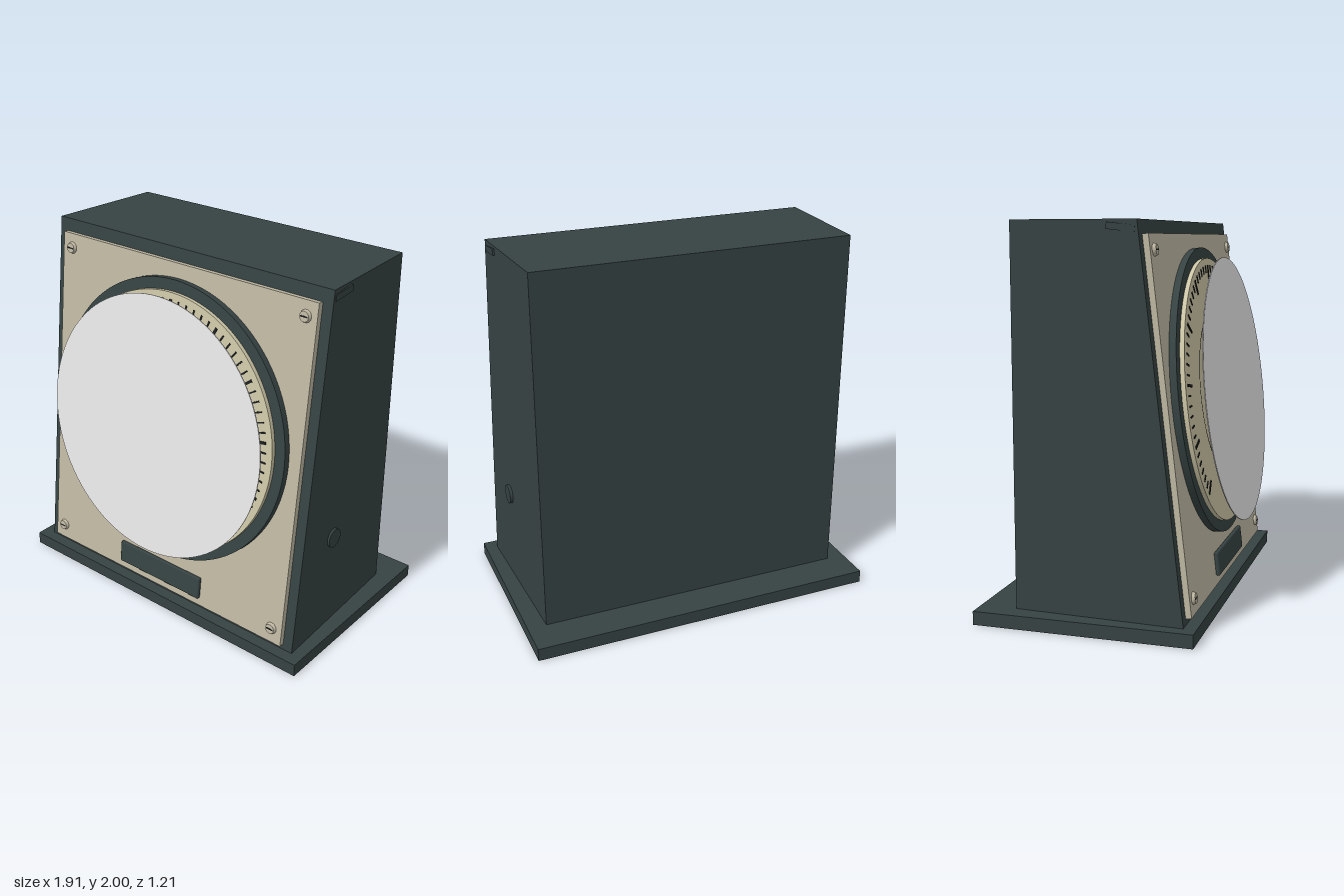
import * as THREE from 'three';
import { RoundedBoxGeometry } from 'three/addons/geometries/RoundedBoxGeometry.js';

const mat = (name, color, side = THREE.FrontSide) => {
  const m = new THREE.MeshStandardMaterial({ color, side });
  m.name = name;
  return m;
};

export function createModel() {
  const casing = mat('dark casing', 0x364242);
  const panelMat = mat('beige panel', 0xbfb8a3);
  const dialMat = mat('cream dial', 0xccc5a6);
  const ink = mat('black ink', 0x1c2020);
  const glassMat = mat('pale glass', 0xffffff, THREE.DoubleSide);

  const model = new THREE.Group();
  model.name = 'panelMeter';
  const add = (parent, name, geo, material, x = 0, y = 0, z = 0) => {
    const mesh = new THREE.Mesh(geo, material);
    mesh.name = name;
    mesh.position.set(x, y, z);
    parent.add(mesh);
    return mesh;
  };
  // Disc facing +z, centred on its thickness
  const disc = (r, depth, sides = 64) =>
    new THREE.CylinderGeometry(r, r, depth, sides).rotateX(Math.PI / 2);

  // Base slab
  add(model, 'base', new THREE.BoxGeometry(1.915, 0.07, 1.135), casing, 0, 0.035, -0.037);

  // Housing: sloping front, sides narrowing slightly to the back
  const body = new THREE.BoxGeometry(2, 2, 2);
  const p = body.attributes.position;
  for (let i = 0; i < p.count; i++) {
    const top = p.getY(i) > 0, front = p.getZ(i) > 0;
    p.setXYZ(i, Math.sign(p.getX(i)) * (front ? 0.892 : 0.855), top ? 2 : 0.07,
      front ? (top ? 0.235 : 0.465) : -0.413);
  }
  body.computeVertexNormals();
  add(model, 'housing', body, casing);

  // Side catches and the plug on the left side
  const tilt = -Math.atan2(0.23, 1.93);
  for (const s of [-1, 1]) {
    const c = add(model, 'sideCatch', new THREE.BoxGeometry(0.024, 0.033, 0.14), casing, s * 0.881, 1.963, 0.155);
    c.rotation.x = -tilt * 0.9;
  }
  add(model, 'sidePlug', disc(0.052, 0.03, 32).rotateY(Math.PI / 2), casing, 0.876, 0.6, 0.11);

  // Everything on the sloping face; local z is distance from the face
  const face = new THREE.Group();
  face.name = 'frontFace';
  face.position.set(0, 1.095, 0.343);
  face.rotation.x = tilt;
  model.add(face);

  add(face, 'frontPanel', new THREE.BoxGeometry(1.67, 1.845, 0.03), panelMat, 0, -0.08, 0.015);

  // Bezel and dial
  add(face, 'bezel', disc(0.766, 0.036, 96), casing, 0, 0, 0.048);
  add(face, 'dial', disc(0.706, 0.026, 96), dialMat, 0, 0, 0.076);

  // Scale marks over a 270 degree sweep
  const sweep = Math.PI * 1.5, steps = 60;
  const marks = new THREE.Group();
  marks.name = 'scaleMarks';
  marks.position.z = 0.091;
  face.add(marks);
  for (let i = 0; i <= steps; i++) {
    const a = Math.PI * 1.25 - sweep * i / steps;
    const len = i % 6 === 0 ? 0.08 : 0.04;
    const r = 0.67 - len / 2;
    const t = add(marks, 'tick', new THREE.BoxGeometry(len, i % 6 === 0 ? 0.014 : 0.008, 0.004), ink,
      Math.cos(a) * r, Math.sin(a) * r);
    t.rotation.z = a;
  }
  add(marks, 'innerArc', new THREE.RingGeometry(0.43, 0.438, 72, 1, -Math.PI / 4, sweep), ink);

  // Pointer and hub
  const angle = Math.PI * 1.25;
  const pointer = new THREE.Group();
  pointer.name = 'pointer';
  pointer.position.z = 0.126;
  pointer.rotation.z = angle;
  face.add(pointer);
  const needle = new THREE.Shape([[-0.06, -0.016], [0.46, -0.005], [0.46, 0.005], [-0.06, 0.016]]
    .map(([x, y]) => new THREE.Vector2(x, y)));
  add(pointer, 'needle', new THREE.ExtrudeGeometry(needle, { depth: 0.008, bevelEnabled: false }), ink);
  add(face, 'hub', disc(0.06, 0.035, 40), casing, 0, 0, 0.143);

  // Cover glass
  add(face, 'coverGlass', disc(0.705, 0.005, 96), glassMat, 0, -0.005, 0.18);

  // Nameplate
  add(face, 'nameplate', new RoundedBoxGeometry(0.58, 0.125, 0.024, 2, 0.008), casing, 0, -0.893, 0.04);

  // Corner screws with slots
  for (const x of [-0.77, 0.77]) for (const y of [-0.92, 0.765]) {
    const screw = new THREE.Group();
    screw.name = 'screw';
    screw.position.set(x, y, 0.03);
    face.add(screw);
    add(screw, 'screwHead', new THREE.CylinderGeometry(0.026, 0.032, 0.016, 32).rotateX(Math.PI / 2),
      panelMat, 0, 0, 0.008);
    add(screw, 'screwSlot', new THREE.BoxGeometry(0.042, 0.007, 0.003), ink, 0, 0, 0.016);
  }
  return model;
}
